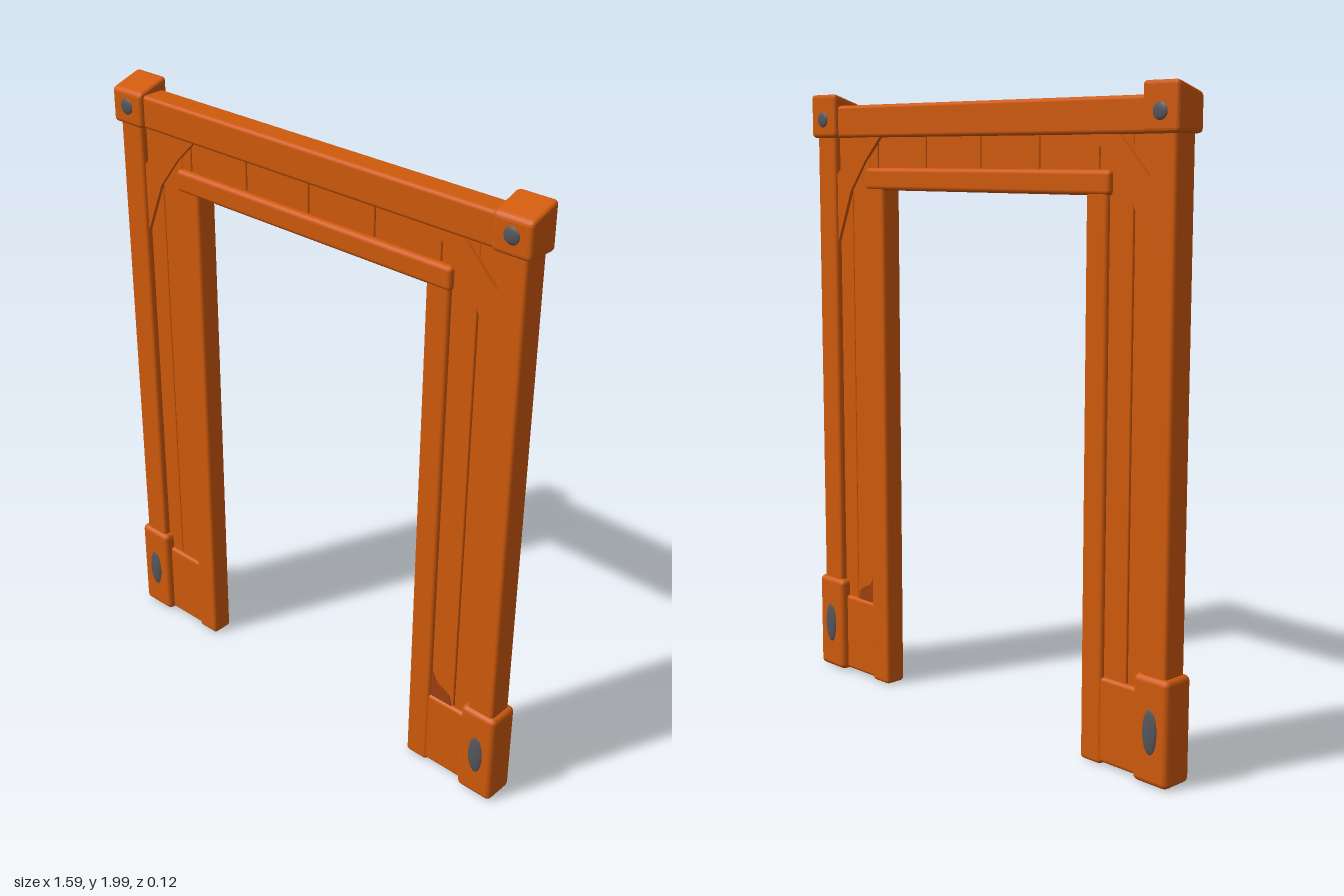
import * as THREE from 'three';
import { RoundedBoxGeometry } from 'three/addons/geometries/RoundedBoxGeometry.js';

const wood = new THREE.MeshStandardMaterial({ color: 0xd05a0c });
wood.name = 'orange wood';
const iron = new THREE.MeshStandardMaterial({ color: 0x55565a });
iron.name = 'grey iron';
const worn = new THREE.MeshStandardMaterial({ color: 0x9e400e });
worn.name = 'worn brown wood';

export function createModel() {
  const group = new THREE.Group();

  const add = (name, geometry, material = wood) => {
    const mesh = new THREE.Mesh(geometry, material);
    mesh.name = name;
    group.add(mesh);
    return mesh;
  };

  // Softly rounded timber spanning x0..x1, y0..y1 and z -d..d
  const timber = (name, x0, x1, y0, y1, d, radius) => {
    const mesh = add(name, new RoundedBoxGeometry(x1 - x0, y1 - y0, d * 2, 2, radius));
    mesh.position.set((x0 + x1) / 2, (y0 + y1) / 2, 0);
    return mesh;
  };

  // Flat piece cut from an outline, centred in depth
  const cut = (name, points, d, material) => {
    const shape = new THREE.Shape(points.map(([x, y]) => new THREE.Vector2(x, y)));
    const geometry = new THREE.ExtrudeGeometry(shape, { depth: d * 2, bevelEnabled: false });
    return add(name, geometry.translate(0, 0, -d), material);
  };

  // Domed oval bolt heads on both faces
  const bolts = (name, x, y, rx, ry) => {
    for (const z of [-0.054, 0.054]) {
      const bolt = add(name, new THREE.SphereGeometry(1, 20, 12), iron);
      bolt.scale.set(rx, ry, 0.008);
      bolt.position.set(x, y, z);
    }
  };

  // Horizontal members
  timber('topBeam', -0.69, 0.69, 1.855, 1.96, 0.043, 0.012);
  timber('lintel', -0.54, 0.535, 1.685, 1.757, 0.041, 0.014);

  // Panels above the lintel
  const seams = [-0.69, -0.487, -0.25, 0, 0.25, 0.487, 0.69];
  for (let i = 0; i < seams.length - 1; i++) {
    timber('headerPanel', seams[i] + 0.001, seams[i + 1] - 0.001, 1.74, 1.865, 0.022, 0.005);
  }

  for (const side of [-1, 1]) {
    const pair = (name, a, b, ...rest) =>
      timber(name, Math.min(a * side, b * side), Math.max(a * side, b * side), ...rest);

    // Outer post with its foot block
    pair('outerPost', 0.685, 0.78, 0.2, 1.88, 0.043, 0.012);
    pair('footBlock', 0.667, 0.797, 0.005, 0.33, 0.055, 0.018);
    bolts('footBolt', side * 0.734, 0.167, 0.027, 0.069);

    // Cap block, its top sloping down to the front
    const cap = pair('capBlock', 0.667, 0.797, 1.855, 1.983, 0.056, 0.014);
    const p = cap.geometry.attributes.position;
    for (let i = 0; i < p.count; i++) {
      if (p.getY(i) > 0) p.setY(i, p.getY(i) - p.getZ(i) * 0.32);
    }
    cap.geometry.computeVertexNormals();
    bolts('capBolt', side * 0.733, 1.915, 0.027, 0.026);

    // Inner jamb, side boards and low base panel
    pair('innerJamb', 0.447, 0.53, 0.003, 1.7, 0.037, 0.012);
    pair('sideBoard', 0.525, 0.617, 0.05, 1.865, 0.024, 0.005);
    pair('sideBoard', 0.619, 0.692, 0.05, 1.865, 0.022, 0.005);
    pair('basePanel', 0.515, 0.69, 0.01, 0.275, 0.034, 0.012);

    // Corner brace with a bent lower edge
    const brace = [[0.69, 1.50], [0.69, 1.73], [0.565, 1.86], [0.46, 1.86], [0.54, 1.78], [0.617, 1.68]];
    cut('cornerBrace', brace.map(([x, y]) => [x * side, y]), 0.034);
  }

  // Worn patch above one base panel
  cut('wornPatch', [[0.527, 0.268], [0.612, 0.268], [0.6, 0.31], [0.575, 0.325], [0.55, 0.335], [0.527, 0.375]], 0.027, worn);

  return group;
}
